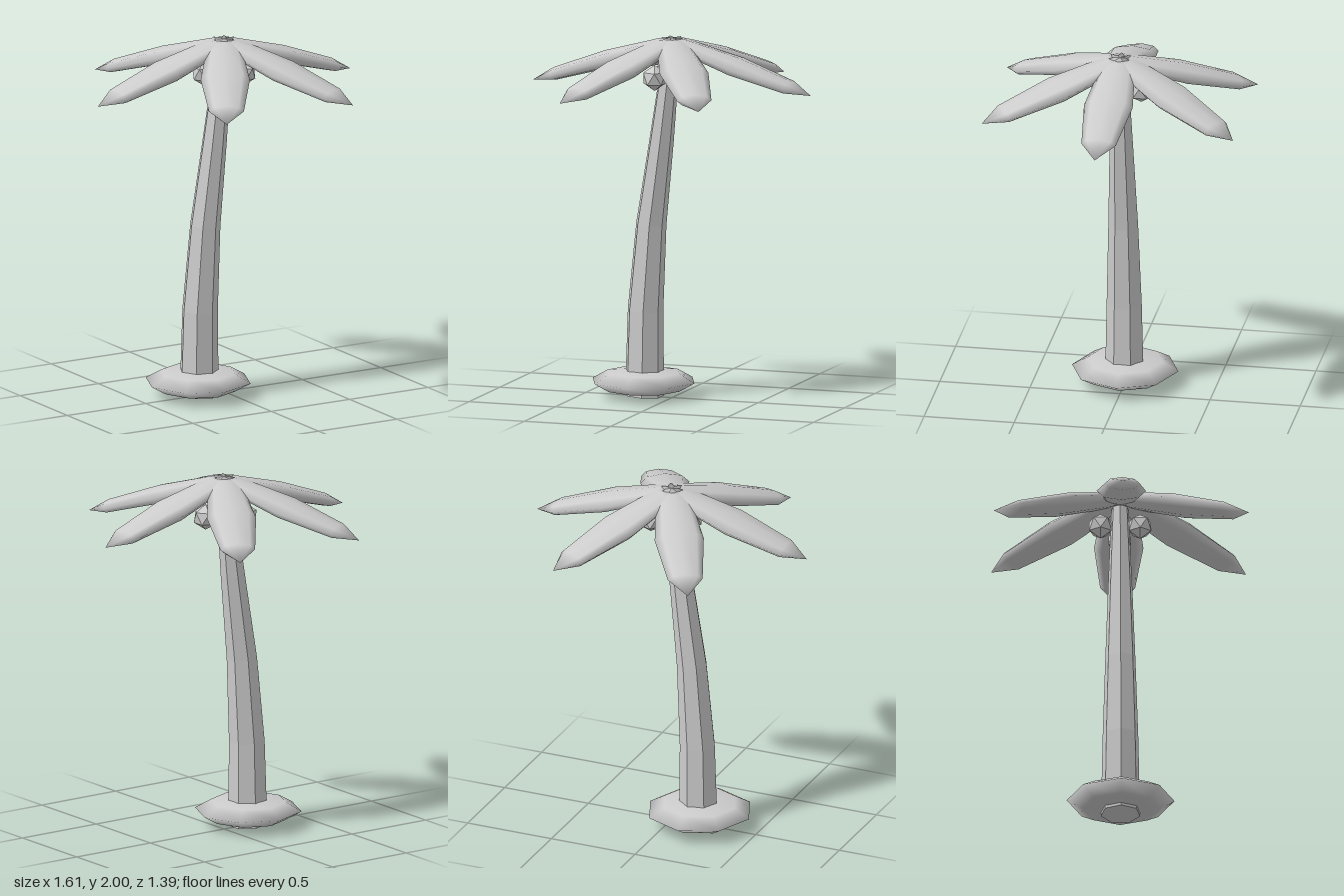
import * as THREE from 'three';

const grey = new THREE.MeshStandardMaterial({ color: 0xcccccc });
grey.name = 'pale grey';

// Give every face its own normal
function faceted(geometry) {
  const flat = geometry.index ? geometry.toNonIndexed() : geometry;
  flat.computeVertexNormals();
  return flat;
}

// Seven-sided tapering trunk that leans along a curve; rings are [centre x, y, radius, tilt]
function trunkGeometry() {
  const rings = [
    [-0.162, 0.006, 0.11, 0.05],
    [-0.156, 0.48, 0.1, 0.06],
    [-0.122, 0.957, 0.085, 0.08],
    [-0.061, 1.43, 0.068, 0.09],
    [-0.003, 1.92, 0.048, 0.09],
  ];
  const geometry = new THREE.CylinderGeometry(1, 1, 4, 7, 4, false, -Math.PI / 2);
  const pos = geometry.attributes.position;
  for (let i = 0; i < pos.count; i++) {
    const [cx, y, r, tilt] = rings[Math.round(pos.getY(i) + 2)];
    const dx = pos.getX(i) * r;
    pos.setXYZ(i, cx + dx, y - tilt * dx, pos.getZ(i) * r);
  }
  return faceted(geometry);
}

// Flattened spindle with its points at both ends of the leaf, sloping down outward
function frondGeometry() {
  const slope = Math.atan(0.32);
  return new THREE.SphereGeometry(1, 8, 4)
    .rotateZ(-Math.PI / 2)
    .scale(0.457, 0.05, 0.135)
    .rotateZ(-slope)
    .translate(0.37, 1.859, 0);
}

export function createModel() {
  const model = new THREE.Group();
  model.name = 'palmTree';
  const add = (name, geometry) => {
    const mesh = new THREE.Mesh(geometry, grey);
    mesh.name = name;
    model.add(mesh);
    return mesh;
  };

  add('trunk', trunkGeometry());

  // Rounded mound at the foot
  add('mound', new THREE.SphereGeometry(1, 8, 4).scale(0.295, 0.07, 0.295))
    .position.set(-0.165, 0.086, 0);

  // Six fronds around the crown
  const frond = frondGeometry();
  for (let i = 0; i < 6; i++) {
    add('frond' + (i + 1), frond).rotation.y = (i * Math.PI) / 3;
  }

  // Three faceted coconuts, each standing on a corner
  const coconut = faceted(new THREE.IcosahedronGeometry(0.072, 0)
    .rotateZ(-Math.atan(2 / (1 + Math.sqrt(5)))));
  for (let i = 0; i < 3; i++) {
    const a = (i * Math.PI * 2) / 3;
    add('coconut' + (i + 1), coconut)
      .position.set(0.125 * Math.cos(a), 1.787, 0.125 * Math.sin(a));
  }
  return model;
}
